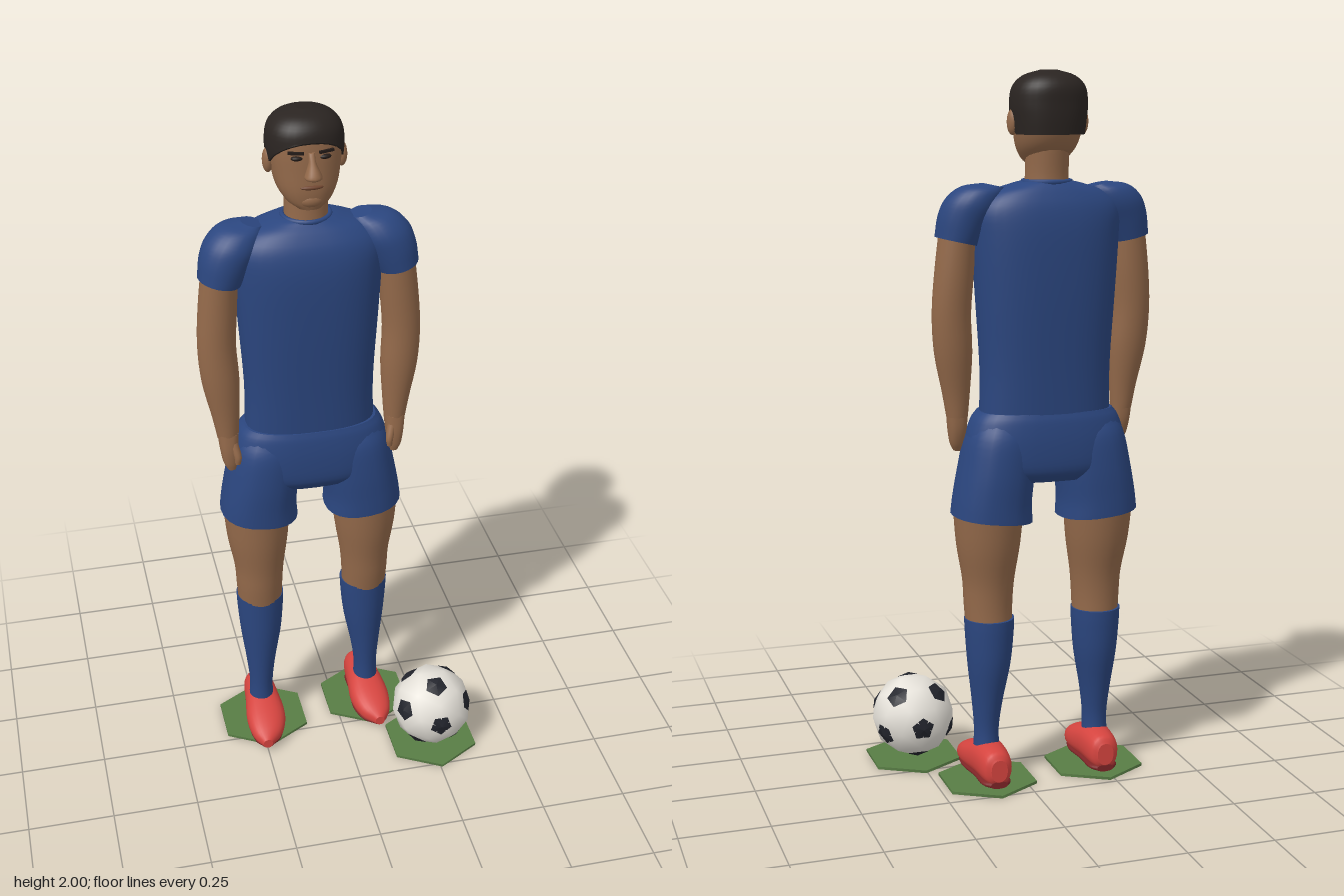
import * as THREE from 'three';

const mat = (color) => new THREE.MeshStandardMaterial({ color, roughness: 0.8 });
const CX = -0.07; // centre line of the figure

// Closed tube through horizontal oval sections [x, y, z, rx, rz], listed bottom to top.
// power squares off the oval, slope tilts the rings sideways.
function loft(sections, { seg = 24, sub = 4, power = 2, slope = 0 } = {}) {
  const mid = new THREE.CatmullRomCurve3(sections.map((s) => new THREE.Vector3(s[0], s[1], s[2])), false, 'catmullrom');
  const rad = new THREE.CatmullRomCurve3(sections.map((s) => new THREE.Vector3(s[3], s[4], 0)), false, 'catmullrom');
  const n = (sections.length - 1) * sub;
  const rings = [];
  for (let i = 0; i <= n; i++) rings.push([mid.getPoint(i / n), rad.getPoint(i / n)]);
  const flat = new THREE.Vector3();
  rings.unshift([rings[0][0], flat], rings[0]); // sharp flat caps
  rings.push(rings[rings.length - 1], [rings[rings.length - 1][0], flat]);
  const round = (v) => Math.sign(v) * Math.abs(v) ** (2 / power);
  const pos = [], idx = [];
  rings.forEach(([c, r], j) => {
    for (let i = 0; i < seg; i++) {
      const a = (i / seg) * Math.PI * 2;
      const dx = r.x * round(Math.cos(a));
      pos.push(c.x + dx, c.y + slope * dx, c.z + r.y * round(Math.sin(a)));
      if (j === rings.length - 1) continue;
      const p = j * seg + i, q = j * seg + (i + 1) % seg;
      idx.push(p, p + seg, q, q, p + seg, q + seg);
    }
  });
  const g = new THREE.BufferGeometry();
  g.setAttribute('position', new THREE.Float32BufferAttribute(pos, 3));
  g.setIndex(idx);
  g.computeVertexNormals();
  return g;
}

export function createModel() {
  const root = new THREE.Group();
  const skin = mat(0x93694a), navy = mat(0x2b467f), red = mat(0xd5443f), sole = mat(0x7d2426);
  const hairMat = mat(0x2a2421), dark = mat(0x231b18), lipMat = mat(0x70452f);
  const white = mat(0xe6e2da), black = mat(0x22242c), grass = mat(0x587d45);

  const add = (parent, name, geo, material, x = 0, y = 0, z = 0) => {
    const m = new THREE.Mesh(geo, material);
    m.name = name;
    m.position.set(x, y, z);
    parent.add(m);
    return m;
  };
  const body = new THREE.Group();
  body.name = 'player';
  body.position.x = CX;
  root.add(body);

  // Head and neck
  add(body, 'neck', loft([[0, 1.64, -0.13, 0.068, 0.065], [0, 1.71, -0.13, 0.06, 0.058], [0, 1.80, -0.135, 0.06, 0.06]]), skin);
  const headSections = [
    [0, 1.745, -0.088, 0.035, 0.035], [0, 1.765, -0.105, 0.062, 0.058], [0, 1.80, -0.123, 0.083, 0.08],
    [0, 1.85, -0.135, 0.094, 0.09], [0, 1.90, -0.139, 0.099, 0.091], [0, 1.95, -0.141, 0.093, 0.086],
    [0, 1.98, -0.142, 0.066, 0.062], [0, 1.992, -0.142, 0.025, 0.025]];
  add(body, 'head', loft(headSections, { power: 2.2 }), skin);

  // Short hair: an outer shell trimmed along a hairline that falls towards the back
  const hair = loft([
    [0, 1.83, -0.138, 0.099, 0.093], [0, 1.87, -0.14, 0.103, 0.095], [0, 1.91, -0.141, 0.106, 0.095],
    [0, 1.955, -0.143, 0.099, 0.091], [0, 1.985, -0.144, 0.07, 0.066], [0, 2.0, -0.144, 0.022, 0.022]], { seg: 32, power: 2.2 });
  const hp = hair.attributes.position;
  for (let i = 0; i < hp.count; i++) {
    hp.setY(i, Math.max(hp.getY(i), Math.max(1.83, 1.935 + (hp.getZ(i) + 0.045) * 0.95)));
  }
  hair.computeVertexNormals();
  add(body, 'hair', hair, hairMat);

  // Face
  add(body, 'nose', loft([[0, 1.84, -0.035, 0.012, 0.015], [0, 1.847, -0.028, 0.024, 0.027],
    [0, 1.862, -0.03, 0.019, 0.025], [0, 1.885, -0.04, 0.01, 0.016], [0, 1.908, -0.05, 0.009, 0.008]], { seg: 12 }), skin);
  const ball = new THREE.SphereGeometry(1, 16, 12);
  add(body, 'mouth', ball, lipMat, 0, 1.812, -0.049).scale.set(0.032, 0.007, 0.011);
  add(body, 'chin', ball, skin, 0, 1.772, -0.062).scale.set(0.034, 0.022, 0.02);
  for (const s of [1, -1]) {
    add(body, 'ear', ball, skin, s * 0.1, 1.863, -0.137).scale.set(0.015, 0.035, 0.02);
    add(body, 'eye', ball, dark, s * 0.037, 1.893, -0.056).scale.set(0.017, 0.007, 0.011);
    const brow = add(body, 'eyebrow', new THREE.BoxGeometry(0.042, 0.007, 0.014), dark, s * 0.04, 1.908, -0.056);
    brow.rotation.y = s * 0.3;
  }

  // Shirt
  add(body, 'shirt', loft([
    [0, 1.055, -0.12, 0.186, 0.1], [0, 1.2, -0.12, 0.184, 0.106], [0, 1.4, -0.12, 0.196, 0.116],
    [0, 1.55, -0.12, 0.205, 0.118], [0, 1.63, -0.122, 0.205, 0.108], [0, 1.675, -0.126, 0.165, 0.088],
    [0, 1.698, -0.13, 0.1, 0.07], [0, 1.706, -0.13, 0.066, 0.062]], { seg: 36, power: 2.5 }), navy);
  const collar = add(body, 'collar', new THREE.TorusGeometry(0.065, 0.007, 8, 28), navy, 0, 1.704, -0.13);
  collar.rotation.x = Math.PI / 2;

  // Shorts: hips
  add(body, 'shortsHips', loft([
    [0, 0.885, -0.118, 0.15, 0.09], [0, 0.92, -0.118, 0.22, 0.113], [0, 0.99, -0.118, 0.229, 0.116],
    [0, 1.05, -0.118, 0.212, 0.11], [0, 1.078, -0.118, 0.192, 0.102]], { seg: 36, power: 2.6 }), navy);

  for (const s of [1, -1]) {
    const side = new THREE.Group();
    side.name = s > 0 ? 'leftSide' : 'rightSide';
    body.add(side);
    // The right leg stands slightly further forward than the left
    const lean = (y) => -s * 0.0135 * (0.8 - y) / 0.8;
    const limb = (name, sections, material, opt = {}) =>
      add(side, name, loft(sections.map(([x, ...r]) => [x * s, ...r]), opt), material);
    const leg = (name, sections, material) =>
      limb(name, sections.map(([x, y, z, ...r]) => [x, y, z + lean(y), ...r]), material);

    // Sleeve, arm and hand
    limb('sleeve', [[0.247, 1.545, -0.1, 0.059, 0.067], [0.228, 1.60, -0.105, 0.07, 0.073],
      [0.205, 1.645, -0.112, 0.073, 0.074], [0.18, 1.68, -0.12, 0.058, 0.06], [0.15, 1.695, -0.125, 0.03, 0.035]],
    navy, { slope: s * 0.22 });
    limb('arm', [[0.243, 1.06, -0.082, 0.03, 0.03], [0.247, 1.13, -0.085, 0.039, 0.036],
      [0.256, 1.24, -0.092, 0.053, 0.047], [0.262, 1.35, -0.098, 0.054, 0.05],
      [0.255, 1.46, -0.102, 0.054, 0.053], [0.245, 1.58, -0.103, 0.05, 0.054]], skin);
    limb('hand', [[0.238, 0.962, -0.068, 0.012, 0.014], [0.24, 0.985, -0.072, 0.021, 0.023],
      [0.242, 1.025, -0.077, 0.026, 0.03], [0.243, 1.075, -0.082, 0.03, 0.03]], skin, { power: 2.4 });
    limb('thumb', [[0.222, 0.985, -0.05, 0.008, 0.009], [0.222, 1.01, -0.05, 0.011, 0.012],
      [0.232, 1.05, -0.065, 0.013, 0.014]], skin, { seg: 12 });

    // Shorts leg, bare leg and sock
    limb('shortsLeg', [[0.155, 0.777, -0.118, 0.113, 0.115], [0.153, 0.83, -0.118, 0.108, 0.116],
      [0.142, 0.91, -0.118, 0.104, 0.117], [0.128, 1.0, -0.118, 0.098, 0.11], [0.118, 1.05, -0.118, 0.08, 0.09]],
    navy, { power: 2.3, slope: s * 0.1 });
    leg('leg', [[0.162, 0.46, -0.108, 0.066, 0.067], [0.163, 0.53, -0.104, 0.069, 0.071],
      [0.162, 0.6, -0.105, 0.074, 0.077], [0.163, 0.7, -0.11, 0.09, 0.093], [0.163, 0.82, -0.115, 0.1, 0.103]], skin);
    leg('sock', [[0.17, 0.07, -0.1, 0.04, 0.045], [0.169, 0.15, -0.098, 0.035, 0.041],
      [0.167, 0.24, -0.102, 0.044, 0.051], [0.163, 0.35, -0.109, 0.061, 0.066],
      [0.162, 0.44, -0.111, 0.069, 0.071], [0.162, 0.485, -0.111, 0.071, 0.072]], navy);

    // Shoe and sole, lofted heel to toe and laid flat
    const shoe = (name, sections, material) => {
      const m = limb(name, sections, material, { power: 2.3 });
      m.geometry.rotateX(Math.PI / 2);
      m.position.z = lean(0);
    };
    shoe('shoe', [[0.165, -0.21, -0.062, 0.024, 0.032], [0.166, -0.19, -0.065, 0.043, 0.05],
      [0.167, -0.11, -0.068, 0.052, 0.053], [0.169, -0.03, -0.056, 0.06, 0.043],
      [0.174, 0.03, -0.043, 0.046, 0.03], [0.181, 0.066, -0.032, 0.014, 0.015]], red);
    shoe('sole', [[0.165, -0.208, -0.02, 0.025, 0.01], [0.166, -0.18, -0.02, 0.043, 0.01],
      [0.167, -0.11, -0.02, 0.044, 0.01], [0.169, -0.03, -0.02, 0.053, 0.01],
      [0.174, 0.03, -0.02, 0.04, 0.01], [0.18, 0.06, -0.022, 0.015, 0.008]], sole);
  }

  // Football: faceted sphere with twelve dark pentagons at its main corners
  const football = new THREE.Group();
  football.name = 'football';
  football.position.set(0.255, 0.131, 0.12);
  football.rotation.x = -0.62;
  root.add(football);
  const R = 0.122, t = (1 + Math.sqrt(5)) / 2;
  const shell = new THREE.IcosahedronGeometry(R, 1);
  shell.setAttribute('normal', shell.attributes.position.clone());
  shell.normalizeNormals();
  add(football, 'ballShell', shell, white);
  const patch = new THREE.ConeGeometry(0.034, 0.0095, 5, 1, true);
  for (const a of [1, -1]) for (const b of [t, -t]) {
    for (const d of [[0, a, b], [a, b, 0], [b, 0, a]]) {
      const dir = new THREE.Vector3(...d).normalize();
      const p = add(football, 'ballPatch', patch, black);
      p.position.copy(dir).multiplyScalar(R - 0.0035);
      p.quaternion.setFromUnitVectors(new THREE.Vector3(0, 1, 0), dir);
    }
  }

  // Hexagonal grass tiles
  for (const [x, z] of [[0.1, -0.122], [-0.235, -0.092], [0.255, 0.12]]) {
    add(root, 'grassTile', new THREE.CylinderGeometry(0.145, 0.145, 0.008, 6), grass, x, 0.004, z);
  }
  return root;
}
